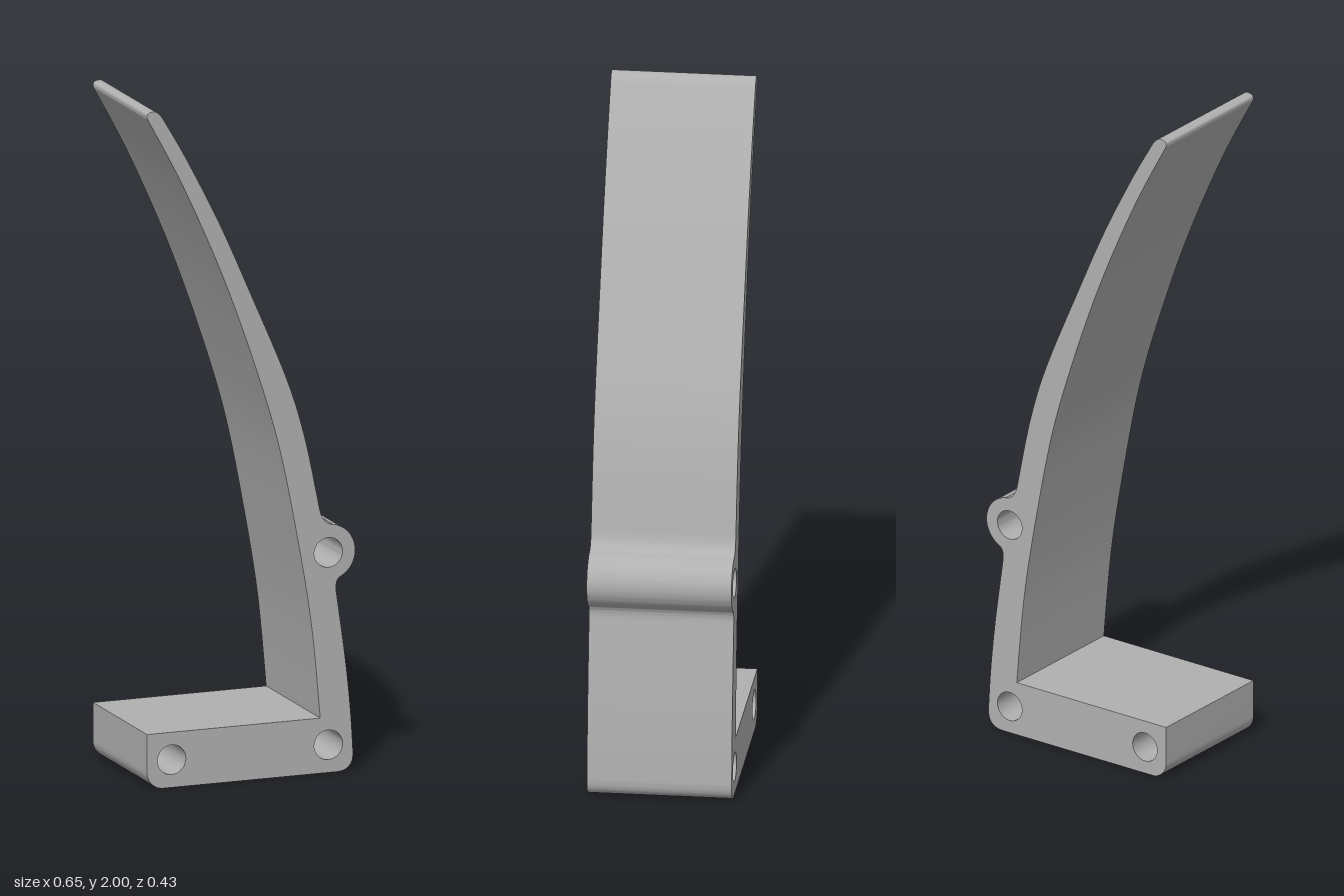
import * as THREE from 'three';
import { toCreasedNormals } from 'three/addons/utils/BufferGeometryUtils.js';

const DEPTH = 0.418;
const points = (list) => list.map(([x, y]) => new THREE.Vector2(x, y));

export function createModel() {
  const grey = new THREE.MeshStandardMaterial({ color: 0xb0b0b0 });
  grey.name = 'plain grey';

  // Side outline: foot, inner curve of the arm, tip, outer curve, pivot lug
  const outline = new THREE.Shape();
  outline.moveTo(-0.272, 0);
  outline.absarc(-0.272, 0.05, 0.05, -Math.PI / 2, -Math.PI, true);
  outline.lineTo(-0.322, 0.163);
  outline.lineTo(0.213, 0.163);
  outline.splineThru(points([
    [0.186, 0.44], [0.143, 0.7], [0.085, 0.98], [0.009, 1.23],
    [-0.09, 1.5], [-0.21, 1.77], [-0.322, 1.982],
  ]));
  // Rounded tip
  outline.bezierCurveTo(-0.325, 1.997, -0.312, 2, -0.302, 2);
  outline.bezierCurveTo(-0.29, 2, -0.28, 1.988, -0.272, 1.975);
  outline.splineThru(points([
    [-0.2, 1.85], [-0.1, 1.655], [-0.004, 1.44], [0.107, 1.18], [0.164, 1.0], [0.207, 0.8],
  ]));
  // Pivot lug blended into the arm
  outline.bezierCurveTo(0.214, 0.76, 0.222, 0.737, 0.252, 0.731);
  outline.absarc(0.238, 0.65, 0.083, 1.4, -1.13, true);
  outline.quadraticCurveTo(0.259, 0.566, 0.262, 0.535);
  outline.splineThru(points([[0.29, 0.333], [0.306, 0.18], [0.314, 0.055]]));
  outline.quadraticCurveTo(0.316, 0, 0.262, 0);
  outline.closePath();

  // Through holes
  for (const [x, y] of [[-0.246, 0.082], [0.238, 0.082], [0.238, 0.65]]) {
    const hole = new THREE.Path();
    hole.absarc(x, y, 0.044, 0, Math.PI * 2, false);
    outline.holes.push(hole);
  }

  const solid = new THREE.ExtrudeGeometry(outline, {
    depth: DEPTH, bevelEnabled: false, curveSegments: 14,
  });
  solid.translate(0, 0, -DEPTH / 2);
  const bracket = new THREE.Mesh(toCreasedNormals(solid, 0.6), grey);
  bracket.name = 'curvedBracket';
  bracket.rotation.y = 0.018;

  const model = new THREE.Group();
  model.name = 'curvedLever';
  model.add(bracket);
  return model;
}
